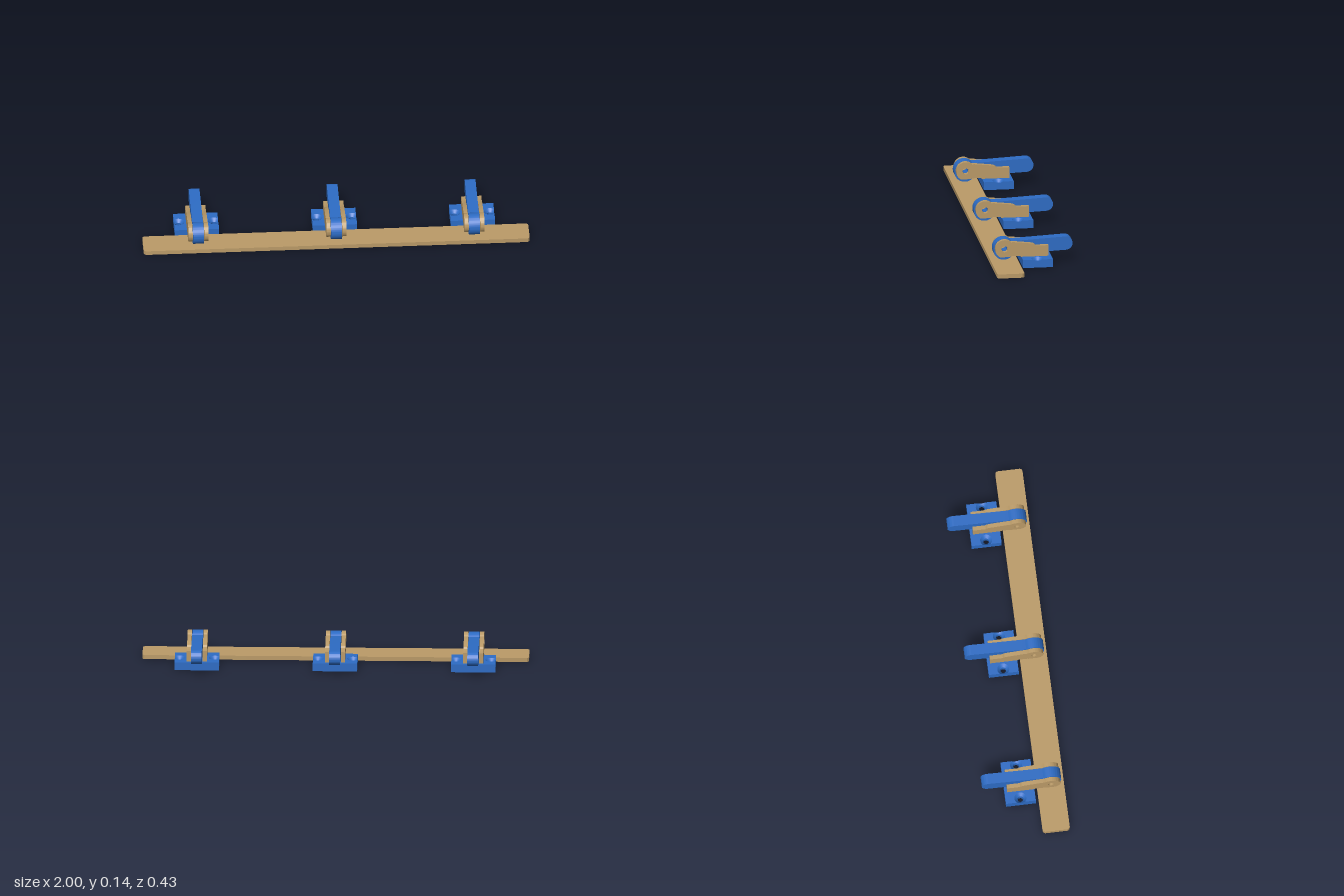
import * as THREE from 'three';
import { mergeGeometries, toCreasedNormals } from 'three/addons/utils/BufferGeometryUtils.js';

const wood = new THREE.MeshStandardMaterial({ color: 0xbb9b68 });
wood.name = 'tan';
const blue = new THREE.MeshStandardMaterial({ color: 0x2d6cc5 });
blue.name = 'blue';

function part(name, geometry, material) {
  const mesh = new THREE.Mesh(geometry, material);
  mesh.name = name;
  return mesh;
}

function circleHole(x, y, r) {
  return new THREE.Path().absarc(x, y, r, 0, Math.PI * 2, true);
}

function rect(x0, y0, x1, y1) {
  return new THREE.Shape([[x0, y0], [x1, y0], [x1, y1], [x0, y1]].map(p => new THREE.Vector2(...p)));
}

function extrude(shape, depth) {
  const g = new THREE.ExtrudeGeometry(shape, { depth, bevelEnabled: false, curveSegments: 28 });
  return toCreasedNormals(g, 0.6);
}

// Side profile (horizontal = -z, vertical = y) given thickness along x
const sideways = (shape, x0, x1) => extrude(shape, x1 - x0).rotateY(Math.PI / 2).translate(x0, 0, 0);

// Plan outline (horizontal = x, vertical = -z) given height along y
const upward = (shape, height) => extrude(shape, height).rotateX(-Math.PI / 2);

// Clamped board with rounded corners
function boardGeometry() {
  const w = 1, d = 0.071, r = 0.016, s = new THREE.Shape();
  s.absarc(w - r, d - r, r, 0, Math.PI / 2);
  s.absarc(-w + r, d - r, r, Math.PI / 2, Math.PI);
  s.absarc(-w + r, -d + r, r, Math.PI, Math.PI * 1.5);
  s.absarc(w - r, -d + r, r, Math.PI * 1.5, Math.PI * 2);
  return upward(s, 0.022).translate(0, 0, 0.143);
}

// Cam with its lever arm
function leverGeometry() {
  const s = new THREE.Shape();
  s.absarc(-0.144, 0.08, 0.056, 0.85, Math.PI * 2 - 0.5);
  s.absarc(0.178, 0.1, 0.036, -1.52, 1.617);
  s.closePath();
  s.holes.push(circleHole(-0.144, 0.087, 0.016));
  return sideways(s, -0.028, 0.028);
}

// Cheek plate that carries the cam
function cheekGeometry(x0, x1) {
  const s = new THREE.Shape();
  s.moveTo(0.085, 0.043);
  s.lineTo(0.085, 0.1);
  s.lineTo(0.018, 0.1);
  s.quadraticCurveTo(0.01, 0.111, -0.006, 0.113);
  s.lineTo(-0.1, 0.124);
  s.absarc(-0.144, 0.087, 0.049, 0.83, 4.2);
  s.lineTo(-0.115, 0.044);
  s.lineTo(-0.11, 0.048);
  s.lineTo(-0.06, 0.048);
  s.lineTo(-0.06, 0.043);
  s.closePath();
  s.holes.push(circleHole(-0.144, 0.087, 0.016));
  return sideways(s, x0, x1);
}

// Mounting base: countersunk screw holes break out through its sides
function baseGeometry() {
  const W = 0.115, D = 0.078, H = 0.043, L = 0.027;
  const hx = 0.092, r = 0.015, R = r + H - L, d = W - hx;
  const half = Math.sqrt(R * R - d * d), a0 = Math.acos(d / R);

  // Lower block with screw holes and tab slots
  const low = rect(-W, -D, W, D);
  for (const s of [-1, 1]) {
    low.holes.push(circleHole(s * hx, 0, r));
    const a = s > 0 ? 0.03 : -0.052;
    low.holes.push(rect(a, -0.05, a + 0.022, 0.05));
  }
  const pieces = [upward(low, L)];

  // Top face with the two open countersinks
  const top = new THREE.Shape();
  top.moveTo(-W, -D);
  top.lineTo(W, -D);
  top.absarc(hx, 0, R, -a0, a0, true);
  top.lineTo(W, D);
  top.lineTo(-W, D);
  top.absarc(-hx, 0, R, Math.PI - a0, Math.PI + a0, true);
  pieces.push(new THREE.ShapeGeometry(top, 32).rotateX(-Math.PI / 2).translate(0, H, 0));

  // Side face with the notch left by the cone
  const side = rect(-D, L, D, H).getPoints().slice(0, 3);
  for (let i = 0; i <= 16; i++) {
    const u = half * (1 - i / 8);
    side.push(new THREE.Vector2(u, L + Math.hypot(d, u) - r));
  }
  side.push(new THREE.Vector2(-D, H));

  // Countersink cone, trimmed where it meets the side
  const cone = new THREE.CylinderGeometry(R, r, H - L, 64, 1, true);
  const p = cone.attributes.position;
  for (let i = 0; i < p.count; i++) {
    if (p.getY(i) < 0) continue;
    const x = p.getX(i), z = p.getZ(i);
    const k = x > d ? d / x : 1;
    p.setXYZ(i, x * k, (H - L) / 2 - R * (1 - k), z * k);
  }
  // Reverse the corners so the cone faces inward
  const idx = cone.index.array;
  for (let i = 0; i < idx.length; i += 3) [idx[i], idx[i + 1]] = [idx[i + 1], idx[i]];
  cone.computeVertexNormals();
  cone.translate(hx, (H + L) / 2, 0);

  for (const turn of [0, Math.PI]) {
    pieces.push(new THREE.ShapeGeometry(new THREE.Shape(side)).rotateY(Math.PI / 2).translate(W, 0, 0).rotateY(turn));
    pieces.push(new THREE.PlaneGeometry(2 * W, H - L).translate(0, (H + L) / 2, D).rotateY(turn));
    pieces.push(cone.clone().rotateY(turn));
  }
  return mergeGeometries(pieces.map(g => (g.index ? g.toNonIndexed() : g)));
}

export function createModel() {
  const model = new THREE.Group();
  model.name = 'camClampSet';
  model.add(part('board', boardGeometry(), wood));

  const base = baseGeometry().translate(0, 0, -0.021);
  const lever = leverGeometry();
  const cheeks = { left: cheekGeometry(0.03, 0.052), right: cheekGeometry(-0.052, -0.03) };
  const tab = new THREE.BoxGeometry(0.022, 0.043, 0.1).translate(0, 0.0215, -0.021);

  // Three identical clamps along the board
  for (const x of [-0.715, 0, 0.715]) {
    const clamp = new THREE.Group();
    clamp.name = 'clamp';
    clamp.position.x = x;
    clamp.add(part('base', base, blue), part('camLever', lever, blue));
    for (const [name, s] of [['left', 1], ['right', -1]]) {
      clamp.add(part(name + 'Cheek', cheeks[name], wood));
      const t = part(name + 'CheekTab', tab, wood);
      t.position.x = s * 0.041;
      clamp.add(t);
    }
    model.add(clamp);
  }
  return model;
}
